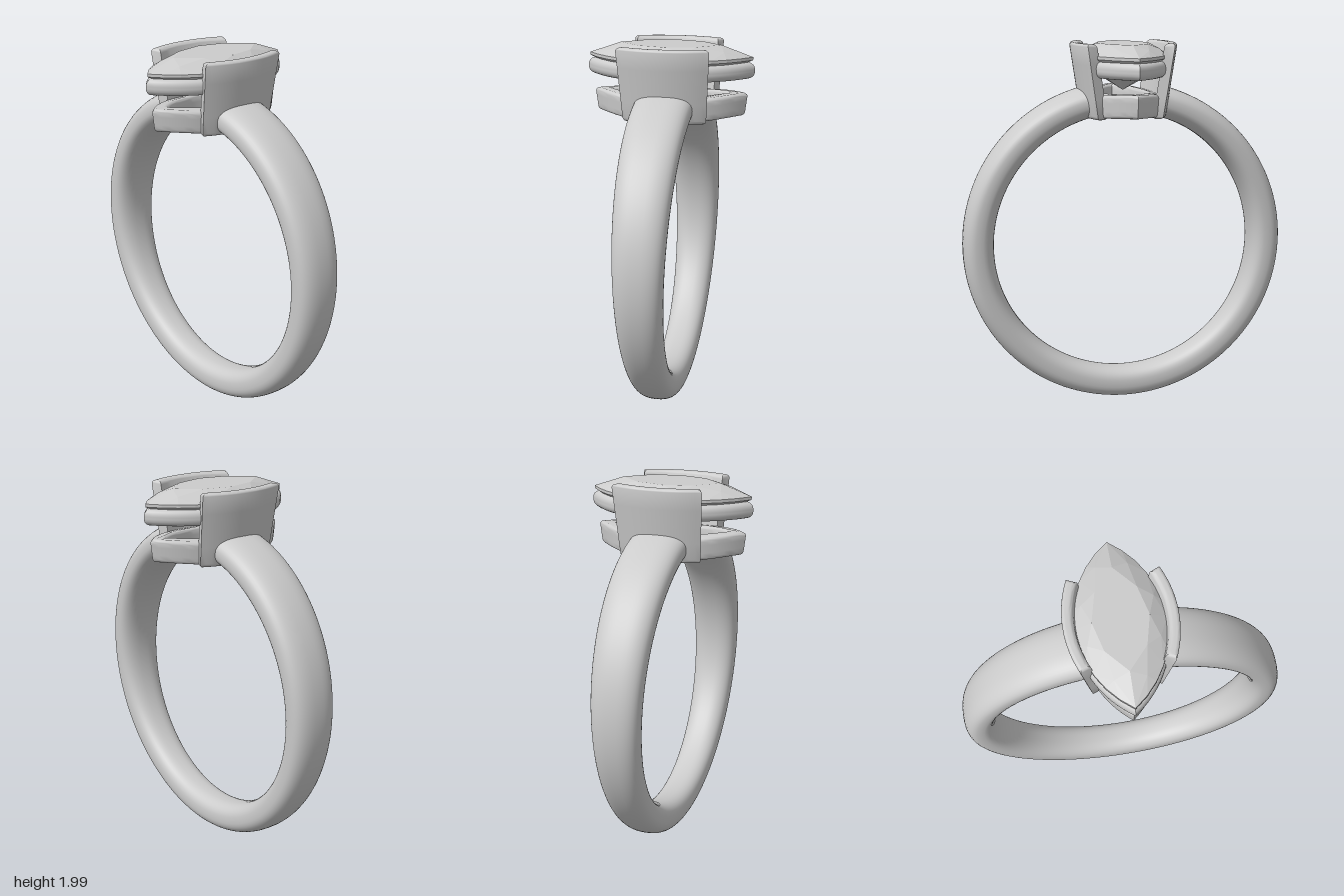
import * as THREE from 'three';
import { toCreasedNormals } from 'three/addons/utils/BufferGeometryUtils.js';
import { ConvexGeometry } from 'three/addons/geometries/ConvexGeometry.js';

const CENTRE_Y = 0.897, INNER_R = 0.722, OUTER_R = 0.891;
const metal = new THREE.MeshStandardMaterial({ color: 0xcccccc });
const facet = new THREE.MeshStandardMaterial({ color: 0xcccccc, flatShading: true });

function named(name, geometry, material = metal) {
  const mesh = new THREE.Mesh(geometry, material);
  mesh.name = name;
  return mesh;
}

// Move every vertex by a rule
function deform(geometry, rule) {
  const p = geometry.attributes.position, v = new THREE.Vector3();
  for (let i = 0; i < p.count; i++) {
    rule(v.fromBufferAttribute(p, i));
    p.setXYZ(i, v.x, v.y, v.z);
  }
  return geometry;
}

// Pointed oval made of two arcs: half width w, half length l, offset outwards by off
function marquise(w, l, off = 0, n = 24) {
  const R = (l * l + w * w) / (2 * w), c = R - w, r = R + off;
  const a = Math.acos(c / r), pts = [];
  for (const side of [1, -1]) {
    for (let i = 0; i < n; i++) {
      const t = -a + (2 * a * i) / n;
      pts.push(new THREE.Vector2(side * (r * Math.cos(t) - c), side * r * Math.sin(t)));
    }
  }
  return pts;
}

// Extrude a plan outline upwards from y = 0, with rounded edges inside the outline
function extrudeUp(shape, height, bevel) {
  return new THREE.ExtrudeGeometry(shape, {
    depth: height - 2 * bevel, steps: 4, bevelEnabled: true, bevelThickness: bevel,
    bevelSize: bevel, bevelOffset: -bevel, bevelSegments: 5,
  }).translate(0, 0, bevel).rotateX(-Math.PI / 2);
}

function rail(w, l, thickness, height, bevel) {
  const shape = new THREE.Shape(marquise(w, l));
  shape.holes.push(new THREE.Path(marquise(w, l, -thickness)));
  return extrudeUp(shape, height, bevel);
}

// Open band, wider towards the top, ending inside the side walls
function bandGeometry() {
  const around = 128, section = 40, gap = 0.25, power = 2 / 2.5;
  const mid = (INNER_R + OUTER_R) / 2, half = (OUTER_R - INNER_R) / 2;
  const soft = (s) => Math.sign(s) * Math.abs(s) ** power;
  const pos = [], index = [];
  for (let i = 0; i <= around; i++) {
    const a = gap + ((2 * Math.PI - 2 * gap) * i) / around;
    const width = 0.098 + 0.031 * (1 + Math.cos(a));
    for (let j = 0; j < section; j++) {
      const p = (2 * Math.PI * j) / section;
      const r = mid + half * soft(Math.cos(p));
      pos.push(Math.sin(a) * r, CENTRE_Y + Math.cos(a) * r, width * soft(Math.sin(p)));
      if (i === around) continue;
      const k = (j + 1) % section, A = i * section, B = A + section;
      index.push(A + j, A + k, B + k, A + j, B + k, B + j);
    }
  }
  const g = new THREE.BufferGeometry();
  g.setAttribute('position', new THREE.Float32BufferAttribute(pos, 3));
  g.setIndex(index);
  g.computeVertexNormals();
  return g;
}

// Curved wall hugging the stone, leaning inwards towards its foot
function wallGeometry() {
  const w = 0.23, l = 0.45, R = (l * l + w * w) / (2 * w), c = R - w;
  const pts = [], n = 16, span = 0.42;
  for (const [r, dir] of [[R, 1], [R + 0.058, -1]]) {
    for (let i = 0; i <= n; i++) {
      const t = dir * span * ((2 * i) / n - 1);
      pts.push(new THREE.Vector2(r * Math.cos(t) - c, r * Math.sin(t)));
    }
  }
  const height = 0.402;
  const g = deform(extrudeUp(new THREE.Shape(pts), height, 0.02), (v) => {
    const down = 1 - v.y / height;
    v.x -= 0.06 * down;
    v.z *= 1 - 0.1 * down;
    v.y += 1.598;
  });
  return toCreasedNormals(g, 0.6);
}

// Faceted stone: hull of table, crown, girdle, pavilion and culet points
function stoneGeometry() {
  const pts = [new THREE.Vector3(0, 1.74, 0)];
  const ring = (n, scale, y, shift = 0) => {
    const fine = marquise(0.23, 0.445, 0, 24);
    for (let i = 0; i < n; i++) {
      const p = fine[Math.round(((i + shift) * 48) / n) % 48];
      pts.push(new THREE.Vector3(p.x * scale, y, p.y * scale));
    }
  };
  ring(8, 0.62, 1.995);
  ring(8, 0.84, 1.968, 0.5);
  ring(24, 1, 1.936);
  ring(24, 1, 1.92);
  ring(8, 0.58, 1.82, 0.5);
  return new ConvexGeometry(pts);
}

export function createModel() {
  const model = new THREE.Group();
  model.name = 'ring';
  model.add(named('band', bandGeometry()));

  const head = new THREE.Group();
  head.name = 'head';
  model.add(head);

  // Walls on both sides
  const wall = wallGeometry();
  for (const [name, turn] of [['leftWall', 0], ['rightWall', Math.PI]]) {
    const mesh = named(name, wall);
    mesh.rotation.y = turn;
    head.add(mesh);
  }

  // Seat rail under the stone
  const upper = rail(0.237, 0.455, 0.075, 0.09, 0.036).translate(0, 1.82, 0);
  head.add(named('upperRail', toCreasedNormals(upper, 0.7)));

  // Base rail, curved to follow the finger opening
  const lower = deform(rail(0.2, 0.42, 0.075, 0.125, 0.02), (v) => {
    const scale = 0.96 + 0.04 * (v.y / 0.125);
    v.x *= scale;
    v.z *= scale;
    v.y += CENTRE_Y + Math.sqrt(INNER_R ** 2 - v.x ** 2);
  });
  head.add(named('lowerRail', toCreasedNormals(lower, 0.7)));

  head.add(named('stone', stoneGeometry(), facet));
  return model;
}
